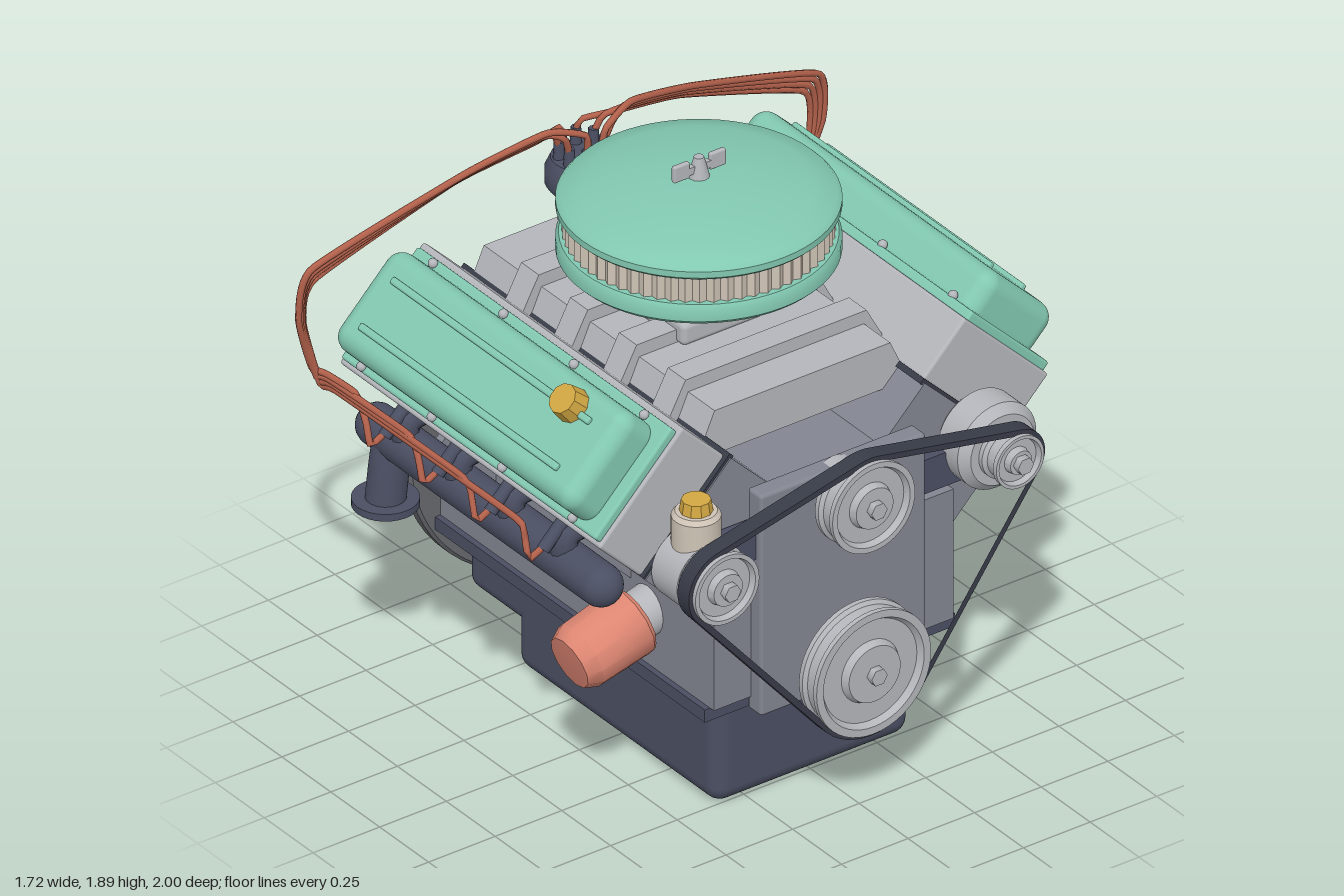
import * as THREE from 'three';
import { toCreasedNormals } from 'three/addons/utils/BufferGeometryUtils.js';
import { RoundedBoxGeometry } from 'three/addons/geometries/RoundedBoxGeometry.js';

const mat = (name, color) => Object.assign(new THREE.MeshStandardMaterial({ color }), { name });

export function createModel() {
  const green = mat('mint paint', 0x82c8b1), light = mat('light alloy', 0xb4b6bb);
  const iron = mat('block grey', 0x838691), slate = mat('dark slate', 0x4b4f63);
  const rubber = mat('belt rubber', 0x383c48), copper = mat('copper lead', 0xb5624c);
  const orange = mat('filter orange', 0xdd8672), beige = mat('paper beige', 0xcfc4b6);
  const gold = mat('gold cap', 0xd3a843), steel = mat('plate steel', 0x66686d);

  const model = new THREE.Group();
  model.name = 'engine';
  const add = (name, geo, m, x = 0, y = 0, z = 0, parent = model) => {
    const mesh = new THREE.Mesh(geo, m);
    mesh.name = name;
    mesh.position.set(x, y, z);
    parent.add(mesh);
    return mesh;
  };
  // Box given by its limits, optionally rounded
  const box = (name, m, [x0, x1], [y0, y1], [z0, z1], r = 0, parent = model) => {
    const s = [x1 - x0, y1 - y0, z1 - z0];
    const g = r ? new RoundedBoxGeometry(...s, 4, r) : new THREE.BoxGeometry(...s);
    return add(name, g, m, (x0 + x1) / 2, (y0 + y1) / 2, (z0 + z1) / 2, parent);
  };
  // Turned part; profile pairs are [radius, height]
  const turned = (pts, seg = 40) => toCreasedNormals(
    new THREE.LatheGeometry(pts.map(p => new THREE.Vector2(...p)), seg), 0.6);
  const turnedX = (pts, seg) => turned(pts, seg).rotateZ(-Math.PI / 2);
  // Cross-section [z, y] drawn out along x
  const section = (pts, x0, x1, hole) => {
    const shape = new THREE.Shape(pts.map(([z, y]) => new THREE.Vector2(-z, y)));
    if (hole) shape.holes.push(new THREE.Path(hole.map(([z, y]) => new THREE.Vector2(-z, y))));
    const g = new THREE.ExtrudeGeometry(shape, { depth: x1 - x0, bevelEnabled: false });
    return g.rotateY(Math.PI / 2).translate(x0, 0, 0);
  };
  const mirrored = half => [...half, ...half.map(([z, y]) => [-z, y]).reverse()];
  const tube = (pts, r, seg = 40, sides = 8, tension = 0.5) => new THREE.TubeGeometry(
    new THREE.CatmullRomCurve3(pts.map(p => new THREE.Vector3(...p)), false, 'catmullrom', tension), seg, r, sides);

  // Block, sump and front cover
  add('block', section(mirrored([[0.45, 0.42], [0.45, 0.73], [0.685, 0.965], [0.364, 1.283], [0.2, 1.12]]), -0.78, 0.59), iron);
  box('sumpFlange', slate, [-0.78, 0.6], [0.385, 0.43], [-0.47, 0.47]);
  box('sumpDeep', slate, [-0.51, 0.52], [0, 0.42], [-0.37, 0.37], 0.055);
  box('sumpShallow', slate, [-0.76, -0.42], [0.16, 0.42], [-0.37, 0.37], 0.05);
  box('frontPlate', iron, [0.59, 0.62], [0.43, 0.89], [-0.45, 0.45]);
  box('timingCover', iron, [0.6, 0.67], [0.38, 1.165], [-0.31, 0.31], 0.012);
  box('accessoryBracket', slate, [0.6, 0.645], [0.93, 1.05], [-0.48, 0.48]);

  // Intake manifold with four cross runners
  add('intake', section(mirrored([[0.4, 1.22], [0.33, 1.375]]), -0.72, 0.46), light);
  for (const x of [-0.47, -0.22, 0.03, 0.28])
    add('intakeRunner', section(mirrored([[0.41, 1.25], [0.4, 1.31], [0.34, 1.42]]), x - 0.045, x + 0.045), light);
  box('carburettorBase', light, [-0.25, 0.11], [1.37, 1.45], [-0.19, 0.19], 0.02);
  add('carburettorNeck', new THREE.CylinderGeometry(0.165, 0.165, 0.16, 36), light, -0.07, 1.5);

  // Air cleaner
  const cleaner = new THREE.Group();
  cleaner.name = 'airCleaner';
  cleaner.position.x = -0.07;
  model.add(cleaner);
  add('cleanerBase', turned([[0, 1.56], [0.42, 1.56], [0.435, 1.575], [0.435, 1.615], [0.425, 1.63], [0, 1.63]], 64), green, 0, 0, 0, cleaner);
  const pleats = new THREE.CylinderGeometry(0.415, 0.415, 0.11, 120, 1, true).toNonIndexed();
  const pp = pleats.attributes.position;
  for (let i = 0; i < pp.count; i++) {
    const k = Math.round(Math.atan2(pp.getX(i), pp.getZ(i)) / (Math.PI / 60));
    const f = k % 2 ? 0.968 : 1;
    pp.setXYZ(i, pp.getX(i) * f, pp.getY(i), pp.getZ(i) * f);
  }
  pleats.computeVertexNormals();
  add('filterPleats', pleats, beige, 0, 1.675, 0, cleaner);
  add('cleanerLid', turned([[0, 1.72], [0.425, 1.72], [0.435, 1.73], [0.435, 1.752], [0.42, 1.768],
    [0.35, 1.787], [0.25, 1.81], [0.13, 1.823], [0, 1.828]], 64), green, 0, 0, 0, cleaner);
  add('lidStud', new THREE.CylinderGeometry(0.016, 0.034, 0.07, 12), light, 0, 1.86, 0, cleaner);
  for (const s of [-1, 1]) box('wingNut', light, [-0.009, 0.009], [1.835, 1.892], [s * 0.068 - 0.03, s * 0.068 + 0.03], 0.006, cleaner);
  box('wingBar', light, [-0.009, 0.009], [1.845, 1.87], [-0.06, 0.06], 0, cleaner);

  // Cylinder banks, exhausts and plug leads on both sides
  const ports = [-0.53, -0.26, 0.01, 0.28];
  for (const s of [1, -1]) {
    const bank = new THREE.Group();
    bank.name = s > 0 ? 'leftBank' : 'rightBank';
    bank.rotation.x = s * Math.PI / 4;
    model.add(bank);
    const bb = (name, m, x, u, v, r) => box(name, m, x, u, s > 0 ? v : [-v[1], -v[0]], r, bank);
    bb('headGasket', rubber, [-0.775, 0.585], [1.155, 1.175], [-0.66, -0.2]);
    bb('cylinderHead', light, [-0.76, 0.57], [1.17, 1.395], [-0.645, -0.2], 0.01);
    bb('coverFlange', green, [-0.74, 0.56], [1.39, 1.425], [-0.625, -0.215], 0.01);
    bb('valveCover', green, [-0.71, 0.515], [1.38, 1.562], [-0.595, -0.24], 0.055);
    for (const v of [-0.5, -0.33]) bb('coverRib', green, [-0.61, 0.4], [1.55, 1.577], [v - 0.012, v + 0.012], 0.008);
    for (const x of [-0.64, -0.28, 0.08, 0.44]) for (const v of [-0.61, -0.23])
      add('coverBolt', new THREE.SphereGeometry(0.016, 10, 8), light, x, 1.43, s * v, bank);
    for (const x of [-0.51, -0.09, 0.18]) bb('blockRib', iron, [x - 0.016, x + 0.016], [0.8, 1.1], [-0.22, -0.17]);

    // Exhaust log, ports and outlet
    const log = new THREE.CapsuleGeometry(0.07, 1.14, 8, 20).rotateZ(Math.PI / 2);
    add('exhaustLog', log, slate, -0.12, 0.905, s * 0.75);
    for (const x of ports) {
      add('exhaustPort', tube([[x, 1.02, s * 0.69], [x, 1.0, s * 0.76], [x, 0.91, s * 0.76]], 0.045, 12, 12), slate);
      add('sparkPlug', new THREE.CylinderGeometry(0.022, 0.022, 0.12, 10).rotateX(s * 3 * Math.PI / 4), slate, x, 1.02, s * 0.8);
    }
    add('exhaustOutlet', tube([[-0.61, 0.9, s * 0.75], [-0.61, 0.82, s * 0.765], [-0.61, 0.69, s * 0.78]], 0.064, 16, 18), slate);
    add('outletFlange', new THREE.CylinderGeometry(0.105, 0.105, 0.025, 28), slate, -0.61, 0.688, s * 0.78);

    // Leads from the distributor to each plug
    ports.forEach((x, i) => {
      const o = i * 0.022, a = (i + 0.5) * Math.PI / 4;
      const cx = -0.67 + 0.07 * Math.cos(a), cz = s * 0.07 * Math.sin(a);
      add('plugLead', tube([[cx, 1.64, cz], [cx + 0.01, 1.72 - o / 2, cz * 1.4], [-0.63 - o, 1.755 - o, s * 0.16],
        [-0.68 - o, 1.685 - o, s * 0.43], [-0.755 - o / 2, 1.5 - o, s * (0.95 - o / 2)],
        [-0.775 - o / 3, 1.32 - o / 2, s * (0.985 - o / 2)], [-0.8 + o / 3, 1.12 - o, s * (0.92 - o / 3)],
        [-0.76 + o, 1.105 - o / 2, s * 0.895], [x - 0.09, 1.1 - o / 2, s * 0.885], [x - 0.03, 1.03, s * 0.89],
        [x, 0.965, s * 0.895], [x, 0.99, s * 0.84]], 0.011, 90, 6, 0.25), copper);
    });
    if (s > 0) add('oilFillerCap', toCreasedNormals(new THREE.CylinderGeometry(0.05, 0.058, 0.06, 10), 0.4), gold, 0.3, 1.59, -0.51, bank);
  }

  // Distributor
  add('distributorBody', new THREE.CylinderGeometry(0.065, 0.075, 0.18, 20), light, -0.67, 1.43);
  add('distributorCap', turned([[0, 1.49], [0.1, 1.49], [0.113, 1.51], [0.113, 1.56], [0.095, 1.6], [0, 1.61]], 24), slate, -0.67);
  for (let i = 0; i < 8; i++) {
    const a = (i + 0.5) * Math.PI / 4;
    add('capTower', new THREE.CylinderGeometry(0.016, 0.02, 0.07, 8), slate, -0.67 + 0.07 * Math.cos(a), 1.625, 0.07 * Math.sin(a));
  }

  // Flywheel with rim and hub bolts
  add('flywheel', turnedX([[0, -0.835], [0.56, -0.835], [0.57, -0.825], [0.57, -0.788], [0.56, -0.778], [0, -0.778]], 64), steel, 0, 0.67);
  add('flywheelHub', turnedX([[0, -0.842], [0.215, -0.842], [0.215, -0.83]], 40), slate, 0, 0.67);
  const boltRing = (n, r, size, x, phase) => {
    for (let i = 0; i < n; i++) {
      const a = phase + i * 2 * Math.PI / n;
      add('flywheelBolt', new THREE.CylinderGeometry(size, size, 0.03, 6).rotateZ(Math.PI / 2), light, x, 0.67 + r * Math.sin(a), r * Math.cos(a));
    }
  };
  boltRing(8, 0.52, 0.022, -0.845, Math.PI / 8);
  boltRing(6, 0.12, 0.017, -0.85, 0);

  // Oil filter, tilted outwards
  const filter = new THREE.Group();
  filter.name = 'oilFilter';
  filter.position.set(0.28, 0.625, 0.44);
  filter.rotation.x = Math.PI / 2 + 0.28;
  model.add(filter);
  add('filterMount', new THREE.CylinderGeometry(0.08, 0.08, 0.12, 20), light, 0, 0.02, 0, filter);
  add('filterCan', turned([[0, 0.06], [0.105, 0.06], [0.117, 0.075], [0.112, 0.27], [0.09, 0.315], [0, 0.32]], 12), orange, 0, 0, 0, filter);

  // Pulleys: z, y, radius
  const pulleys = [[0, 0.5, 0.215], [0.55, 1.0, 0.12], [0, 1.09, 0.155], [-0.55, 1.05, 0.09]];
  for (const [z, y, r] of pulleys) {
    add('pulley', turnedX([[0, 0.735], [r, 0.735], [r, 0.752], [r - 0.012, 0.762], [r - 0.012, 0.798], [r, 0.808],
      [r, 0.825], [r * 0.88, 0.825], [r * 0.82, 0.805], [r * 0.5, 0.805], [r * 0.45, 0.83], [0, 0.83]], 48), light, 0, y, z);
    add('pulleyShaft', new THREE.CylinderGeometry(r * 0.55, r * 0.55, 0.14, 24).rotateZ(Math.PI / 2), light, 0.69, y, z);
    add('pulleyBolt', new THREE.CylinderGeometry(0.03, 0.03, 0.03, 6).rotateZ(Math.PI / 2), light, 0.84, y, z);
  }

  // Belt: convex loop around all pulleys
  const loop = grow => {
    const p = pulleys.flatMap(([z, y, r]) => Array.from({ length: 48 }, (_, i) =>
      [z + (r + grow) * Math.cos(i * Math.PI / 24), y + (r + grow) * Math.sin(i * Math.PI / 24)]));
    p.sort((a, b) => a[0] - b[0] || a[1] - b[1]);
    const chain = list => {
      const h = [];
      for (const c of list) {
        while (h.length > 1) {
          const [a, b] = h.slice(-2);
          if ((b[0] - a[0]) * (c[1] - a[1]) - (b[1] - a[1]) * (c[0] - a[0]) > 1e-9) break;
          h.pop();
        }
        h.push(c);
      }
      return h.slice(0, -1);
    };
    return [...chain(p), ...chain(p.slice().reverse())];
  };
  add('belt', section(loop(0.014), 0.752, 0.81, loop(-0.006)), rubber);

  // Alternator and steering pump with reservoir
  add('alternator', turnedX([[0, 0.58], [0.125, 0.58], [0.148, 0.605], [0.148, 0.705], [0.12, 0.735], [0, 0.735]], 36), light, 0, 1.05, -0.55);
  add('steeringPump', turnedX([[0, 0.59], [0.11, 0.59], [0.12, 0.6], [0.12, 0.73], [0.11, 0.74], [0, 0.74]], 36), light, 0, 0.995, 0.55);
  add('reservoir', turned([[0, 1.08], [0.077, 1.08], [0.077, 1.19], [0.065, 1.205], [0, 1.205]], 28), beige, 0.665, 0, 0.55);
  add('reservoirCap', toCreasedNormals(new THREE.CylinderGeometry(0.046, 0.053, 0.045, 10), 0.4), gold, 0.665, 1.222, 0.55);
  return model;
}
